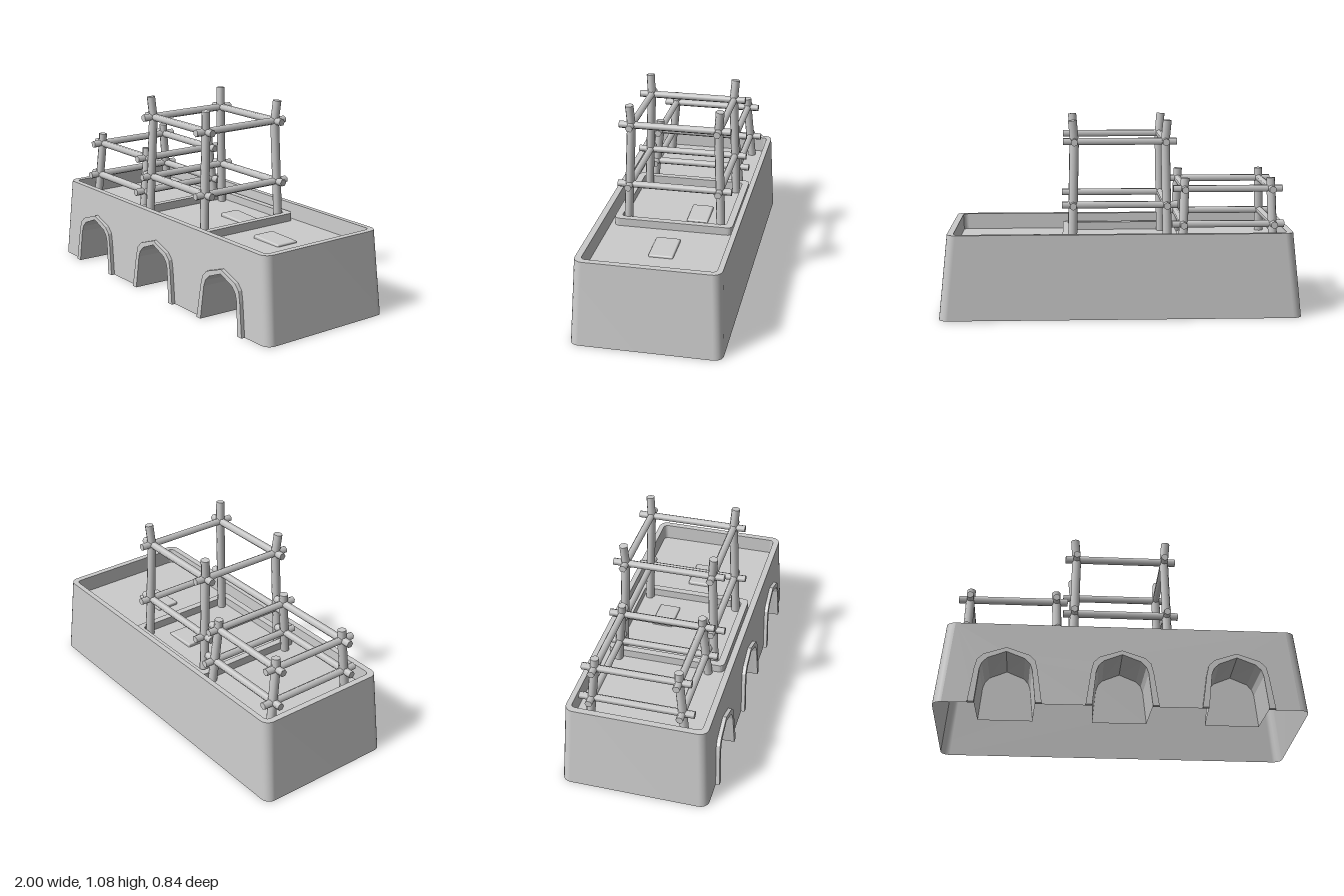
import * as THREE from 'three';
import { RoundedBoxGeometry } from 'three/addons/geometries/RoundedBoxGeometry.js';

const mat = new THREE.MeshStandardMaterial({ color: 0xcccccc, side: THREE.DoubleSide });
const TOP = 0.47, FLOOR = 0.38;
const wallZ = (y) => 0.4 - 0.02 * (y / TOP); // sloping front face
const V = (x, y, z) => new THREE.Vector3(x, y, z);

function add(parent, name, geometry) {
  const mesh = new THREE.Mesh(geometry, mat);
  mesh.name = name;
  parent.add(mesh);
  return mesh;
}

// Rounded rectangle at height y, from the front face round the back to the front again
function ring(w, z0, z1, r, y) {
  const pts = [];
  [[w - r, z1 - r], [w - r, z0 + r], [r - w, z0 + r], [r - w, z1 - r]].forEach(([cx, cz], c) => {
    for (let i = 0; i <= 5; i++) {
      const a = Math.PI / 2 * (1 - c - i / 5);
      pts.push(V(cx + r * Math.cos(a), y, cz + r * Math.sin(a)));
    }
  });
  return pts;
}
const closed = (pts) => [...pts, pts[0]];

// Strip of faces between two rows of points
function strip(a, b) {
  const index = [];
  const n = a.length;
  for (let i = 0; i < n - 1; i++) index.push(i, i + 1, n + i, i + 1, n + i + 1, n + i);
  const g = new THREE.BufferGeometry().setFromPoints([...a, ...b]);
  g.setIndex(index);
  g.computeVertexNormals();
  return g;
}

const flatShape = (pts) => new THREE.Shape(pts.map((p) => new THREE.Vector2(p.x, -p.z)));

// Lean a geometry drawn in x/y onto the sloping front face
function leanOnFront(g) {
  const p = g.attributes.position;
  for (let i = 0; i < p.count; i++) p.setZ(i, p.getZ(i) + wallZ(p.getY(i)));
  g.computeVertexNormals();
  return g;
}

// Straight pole between two points
function pole(parent, name, a, b, r, sides) {
  const d = b.clone().sub(a);
  const m = add(parent, name, new THREE.CylinderGeometry(r, r, d.length(), sides));
  m.position.copy(a).addScaledVector(d, 0.5);
  m.quaternion.setFromUnitVectors(V(0, 1, 0), d.normalize());
}

// Half arch profiles: [half width, height]
const opening = [[0.16, 0], [0.14, 0.19], [0.128, 0.225], [0.1, 0.255], [0, 0.295]];
const border = [[0.195, 0], [0.168, 0.19], [0.155, 0.245], [0.122, 0.278], [0, 0.32]];
// Left to right arch line around centre cx
const archLine = (half, cx) => [
  ...half.map(([x, y]) => [cx - x, y]),
  ...half.slice(0, -1).reverse().map(([x, y]) => [cx + x, y]),
];
const toShape = (pts) => new THREE.Shape(pts.map(([x, y]) => new THREE.Vector2(x, y)));

// Lashed pole frame: leaning posts, with a kink at the upper rails
function scaffold(name, o) {
  const g = new THREE.Group();
  g.name = name;
  const at = (sx, sz, [y, hx, hz]) => V(o.cx + sx * hx, y, o.cz + sz * hz);
  for (const sx of [-1, 1]) for (const sz of [-1, 1]) {
    pole(g, 'post', at(sx, sz, o.foot), at(sx, sz, o.high), 0.025, 8);
    pole(g, 'postTop', at(sx, sz, o.high), at(sx, sz, o.tip), 0.024, 8);
  }
  for (const [y, hx, hz] of [o.low, o.high]) for (const s of [-1, 1]) {
    const ex = hx + 0.063, ez = hz + 0.068;
    pole(g, 'railAcross', V(o.cx - ex, y, o.cz + s * hz), V(o.cx + ex, y, o.cz + s * hz), 0.021, 6);
    pole(g, 'railDeep', V(o.cx + s * hx, y, o.cz - ez), V(o.cx + s * hx, y, o.cz + ez), 0.021, 6);
  }
  return g;
}

export function createModel() {
  const model = new THREE.Group();
  model.name = 'building';

  // Hollow body: sides and back, rim and sunken roof
  const rimOut = ring(0.95, -0.4, 0.38, 0.05, TOP);
  const rimIn = ring(0.915, -0.37, 0.345, 0.025, TOP);
  const roofEdge = ring(0.912, -0.367, 0.342, 0.025, FLOOR);
  add(model, 'sideAndBackWalls', strip(ring(1, -0.42, 0.4, 0.05, 0), rimOut));
  add(model, 'rim', strip(closed(rimOut), closed(rimIn)));
  add(model, 'parapetInside', strip(closed(rimIn), closed(roofEdge)));
  const roof = add(model, 'roof', new THREE.ShapeGeometry(flatShape(roofEdge)));
  roof.rotation.x = -Math.PI / 2;
  roof.position.y = FLOOR;

  // Front wall with three arched openings along its foot
  const centres = [-0.62, 0, 0.62];
  const outline = [[-0.95, 0], ...centres.flatMap((c) => archLine(opening, c)), [0.95, 0], [0.9, TOP], [-0.9, TOP]];
  add(model, 'frontWall', leanOnFront(new THREE.ShapeGeometry(toShape(outline))));

  // Arch borders and the niches behind them
  for (const c of centres) {
    const band = toShape([...archLine(border, c), ...archLine(opening, c).reverse()]);
    add(model, 'archBorder', leanOnFront(new THREE.ExtrudeGeometry(band, { depth: 0.021, bevelEnabled: false })));
    const inner = archLine(opening, c);
    const back = inner.map(([x, y]) => [c + (x - c) * 0.93, y * 0.975]);
    const nicheWall = strip(inner.map(([x, y]) => V(x, y, wallZ(y))), back.map(([x, y]) => V(x, y, 0.15))).toNonIndexed();
    nicheWall.computeVertexNormals();
    add(model, 'nicheWall', nicheWall);
    add(model, 'nicheBack', new THREE.ShapeGeometry(toShape(back))).position.z = 0.15;
  }

  // Low kerb around the tower
  const kerbShape = flatShape(ring(0.325, -0.35, 0.32, 0.03, 0));
  kerbShape.holes.push(new THREE.Path(flatShape(ring(0.287, -0.312, 0.282, 0.015, 0)).getPoints()));
  const kerb = add(model, 'towerKerb', new THREE.ExtrudeGeometry(kerbShape, { depth: 0.045, bevelEnabled: false }));
  kerb.rotation.x = -Math.PI / 2;
  kerb.position.set(-0.005, FLOOR, 0);

  // Slightly tilted slabs set in the roof
  for (const [x, z, w, d, tilt] of [[0.55, -0.02, 0.21, 0.135, -0.03], [0.095, -0.13, 0.19, 0.12, -0.05]]) {
    const slab = add(model, 'roofSlab', new RoundedBoxGeometry(w, 0.03, d, 2, 0.008));
    slab.position.set(x, FLOOR, z);
    slab.rotation.z = tilt;
  }

  // Pole frames; each level is [height, half width, half depth]
  model.add(scaffold('tallFrame', {
    cx: 0.002, cz: -0.015, foot: [0.36, 0.264, 0.265], low: [0.615, 0.258, 0.253], high: [0.965, 0.25, 0.242], tip: [1.082, 0.26, 0.25],
  }));
  model.add(scaffold('lowFrame', {
    cx: -0.598, cz: -0.025, foot: [0.36, 0.252, 0.262], low: [0.505, 0.25, 0.247], high: [0.7, 0.241, 0.228], tip: [0.76, 0.238, 0.226],
  }));
  return model;
}
